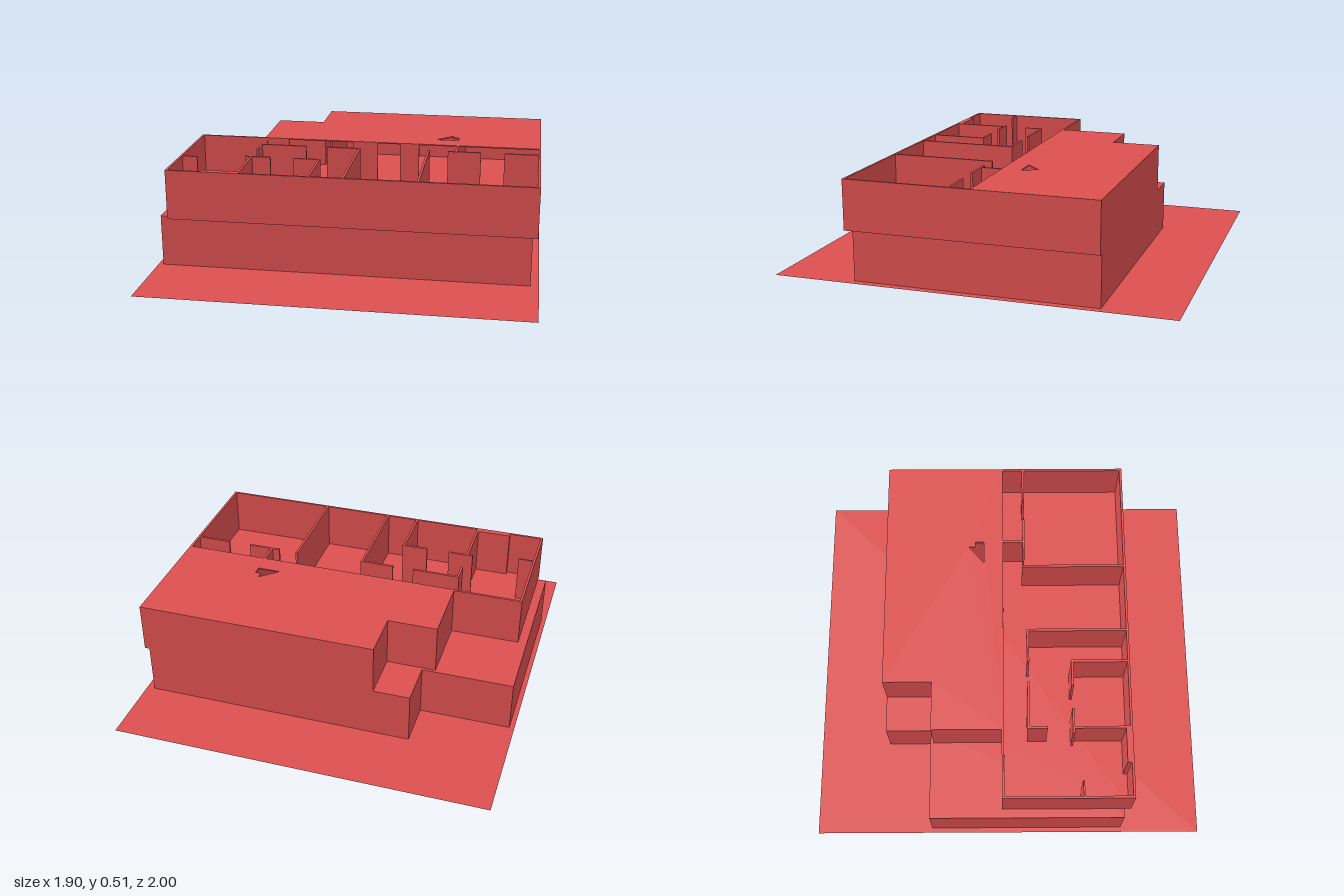
import * as THREE from 'three';

const material = new THREE.MeshStandardMaterial({ color: 0xdd5050, flatShading: true, side: THREE.DoubleSide });
const T = 0.012;                         // wall thickness
const DECK = 0.26, TOP = 0.51;           // storey heights

// Extrude a plan outline of [x, z] corners between two heights.
function slab(name, outline, y0, y1, holes = []) {
  const toPoints = (list) => list.map(([x, z]) => new THREE.Vector2(x, -z));
  const shape = new THREE.Shape(toPoints(outline));
  holes.forEach((h) => shape.holes.push(new THREE.Path(toPoints(h))));
  const geo = new THREE.ExtrudeGeometry(shape, { depth: y1 - y0, bevelEnabled: false });
  geo.rotateX(-Math.PI / 2).translate(0, y0, 0);
  const mesh = new THREE.Mesh(geo, material);
  mesh.name = name;
  return mesh;
}

// Upright wall filling a plan rectangle.
function wall(name, x0, x1, z0, z1, y0 = DECK, y1 = TOP) {
  const mesh = new THREE.Mesh(new THREE.BoxGeometry(x1 - x0, y1 - y0, z1 - z0), material);
  mesh.position.set((x0 + x1) / 2, (y0 + y1) / 2, (z0 + z1) / 2);
  mesh.name = name;
  return mesh;
}

export function createModel() {
  const model = new THREE.Group();
  model.name = 'house';

  // Flat plot
  const ground = new THREE.Mesh(new THREE.PlaneGeometry(1.9, 2).rotateX(-Math.PI / 2), material);
  ground.name = 'plot';
  model.add(ground);

  // Ground storey, with its top as the terrace
  model.add(slab('groundStorey', [
    [-0.925, -0.4], [-0.465, -0.4], [-0.465, -0.635], [0.91, -0.635], [0.91, 0.592], [-0.925, 0.592],
  ], 0, DECK));

  // Upper floor, slightly overhanging
  const upper = [
    [-0.28, -0.635], [0.935, -0.635], [0.935, 0.625], [-0.88, 0.625],
    [-0.88, -0.03], [-0.53, -0.03], [-0.53, -0.385], [-0.28, -0.385],
  ];
  model.add(slab('upperFloor', upper, DECK - 0.003, DECK + 0.003));

  // Outer walls of the upper storey
  const inner = [
    [-0.28 + T, -0.635 + T], [0.935 - T, -0.635 + T], [0.935 - T, 0.625 - T], [-0.88 + T, 0.625 - T],
    [-0.88 + T, -0.03 + T], [-0.53 + T, -0.03 + T], [-0.53 + T, -0.385 + T], [-0.28 + T, -0.385 + T],
  ];
  model.add(slab('outerWalls', upper, DECK, TOP, [inner]));

  // Flat roof over the rear half, with a small shaft opening
  model.add(slab('rearRoof', [
    [-0.28, -0.635], [0.935, -0.635], [0.935, -0.02], [-0.53, -0.02], [-0.53, -0.385], [-0.28, -0.385],
  ], TOP - 0.006, TOP, [[[0.38, -0.12], [0.5, -0.12], [0.5, -0.165], [0.47, -0.165], [0.47, -0.2]]]));

  // Room partitions in the open front half: x0, x1, z0, z1
  const partitions = new THREE.Group();
  partitions.name = 'partitions';
  [
    [-0.006, 0.006, 0.1, 0.613],
    [-0.17, 0.006, 0.1, 0.112],
    [0.354, 0.366, 0.08, 0.613],
    [0.46, 0.63, 0.083, 0.095],
    [0.75, 0.925, 0.083, 0.095],
    [0.497, 0.509, -0.02, 0.095],
    [-0.176, -0.164, 0.33, 0.613],
    [-0.526, -0.514, 0.33, 0.613],
    [-0.55, -0.42, 0.325, 0.337],
    [-0.3, -0.164, 0.325, 0.337],
    [-0.52, -0.28, 0.1, 0.112],
    [-0.526, -0.514, 0.1, 0.2],
    [-0.87, -0.79, 0.37, 0.378],
    [-0.7, -0.52, 0.592, 0.613],
  ].forEach((p) => partitions.add(wall('partition', ...p)));
  model.add(partitions);

  // Partitions beneath the roof, with door gaps between them
  const rear = new THREE.Group();
  rear.name = 'rearPartitions';
  [
    [-0.52, -0.4, -0.032, -0.02],
    [-0.05, 0.08, -0.032, -0.02],
    [0.2, 0.3, -0.032, -0.02],
    [-0.2, -0.188, -0.62, -0.15],
    [0.2, 0.212, -0.62, -0.032],
    [0.497, 0.509, -0.62, -0.02],
  ].forEach((p) => rear.add(wall('rearPartition', ...p, DECK, TOP - 0.006)));
  model.add(rear);

  return model;
}
